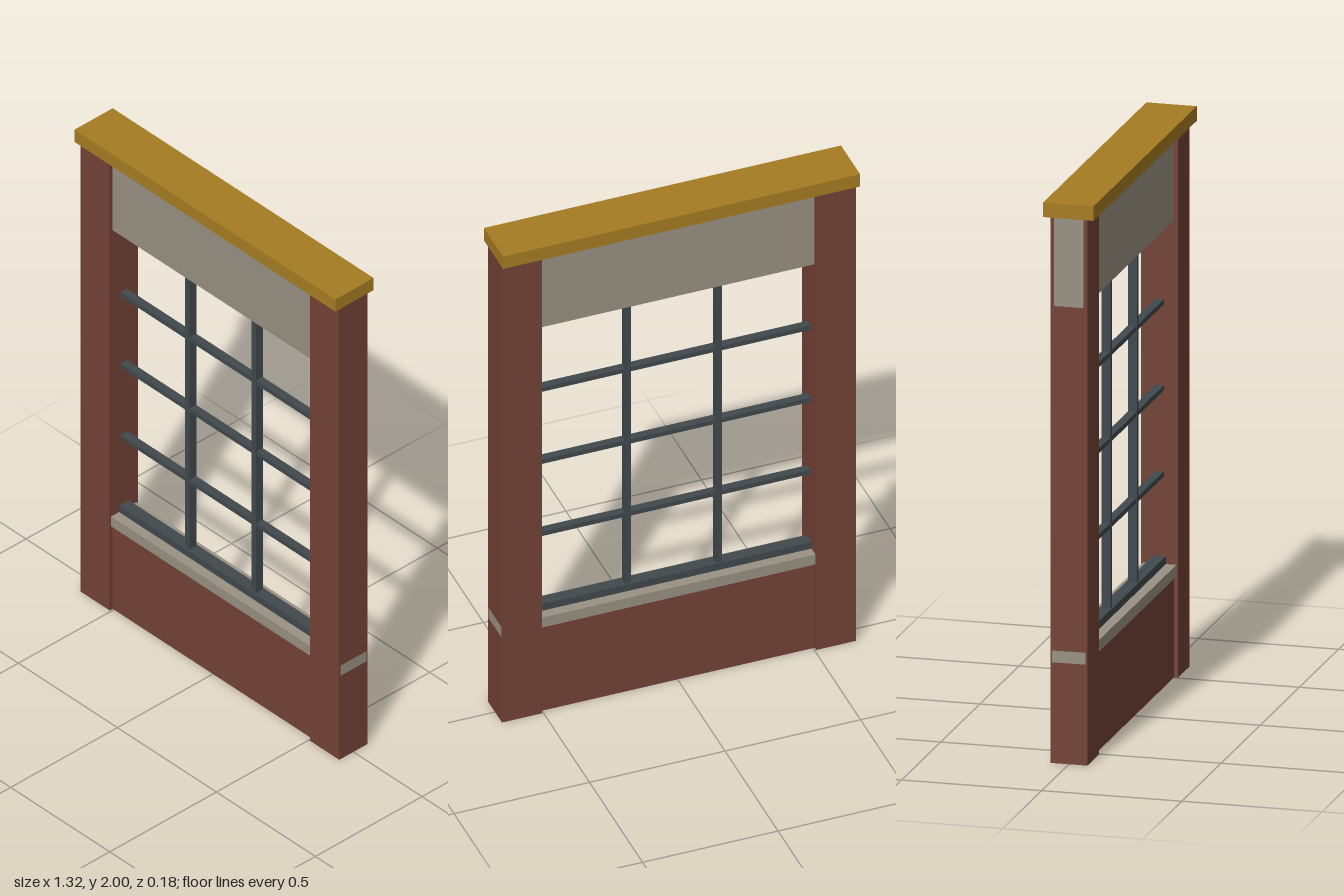
import * as THREE from 'three';

export function createModel() {
  const model = new THREE.Group();
  model.name = 'wallBayWindow';

  const material = (name, color) => {
    const m = new THREE.MeshStandardMaterial({ color });
    m.name = name;
    return m;
  };
  const brick = material('brick', 0x734236);
  const concrete = material('concrete', 0x999183);
  const steel = material('dark steel', 0x40494e);
  const ochre = material('ochre coping', 0xa67c22);

  // Box spanning x0..x1 and y0..y1, centred on z = 0
  const box = (name, mat, x0, x1, y0, y1, depth) => {
    const mesh = new THREE.Mesh(new THREE.BoxGeometry(x1 - x0, y1 - y0, depth), mat);
    mesh.position.set((x0 + x1) / 2, (y0 + y1) / 2, 0);
    mesh.name = name;
    model.add(mesh);
    return mesh;
  };

  const inner = 0.506, outer = 0.653;

  // Brick piers and the recessed panel below the window
  box('leftPier', brick, inner, outer, 0, 1.95, 0.132);
  box('rightPier', brick, -outer, -inner, 0, 1.95, 0.132);
  box('lowerPanel', brick, -inner, inner, 0, 0.36, 0.104);

  // Concrete sill and lintel run through the piers and show on their ends
  box('sill', concrete, -outer - 0.001, outer + 0.001, 0.36, 0.402, 0.12);
  box('lintel', concrete, -outer - 0.001, outer - 0.001, 1.632, 1.95, 0.104);

  // Coping along the top
  box('coping', ochre, -0.659, 0.659, 1.948, 2, 0.18);

  // Window bars
  box('bottomRail', steel, -inner, inner, 0.402, 0.43, 0.045);
  for (const y of [0.723, 1.03, 1.337]) {
    box('horizontalBar', steel, -inner, inner, y - 0.009, y + 0.009, 0.03);
  }
  for (const x of [-0.168, 0.168]) {
    box('verticalBar', steel, x - 0.011, x + 0.011, 0.43, 1.632, 0.032);
  }

  return model;
}
